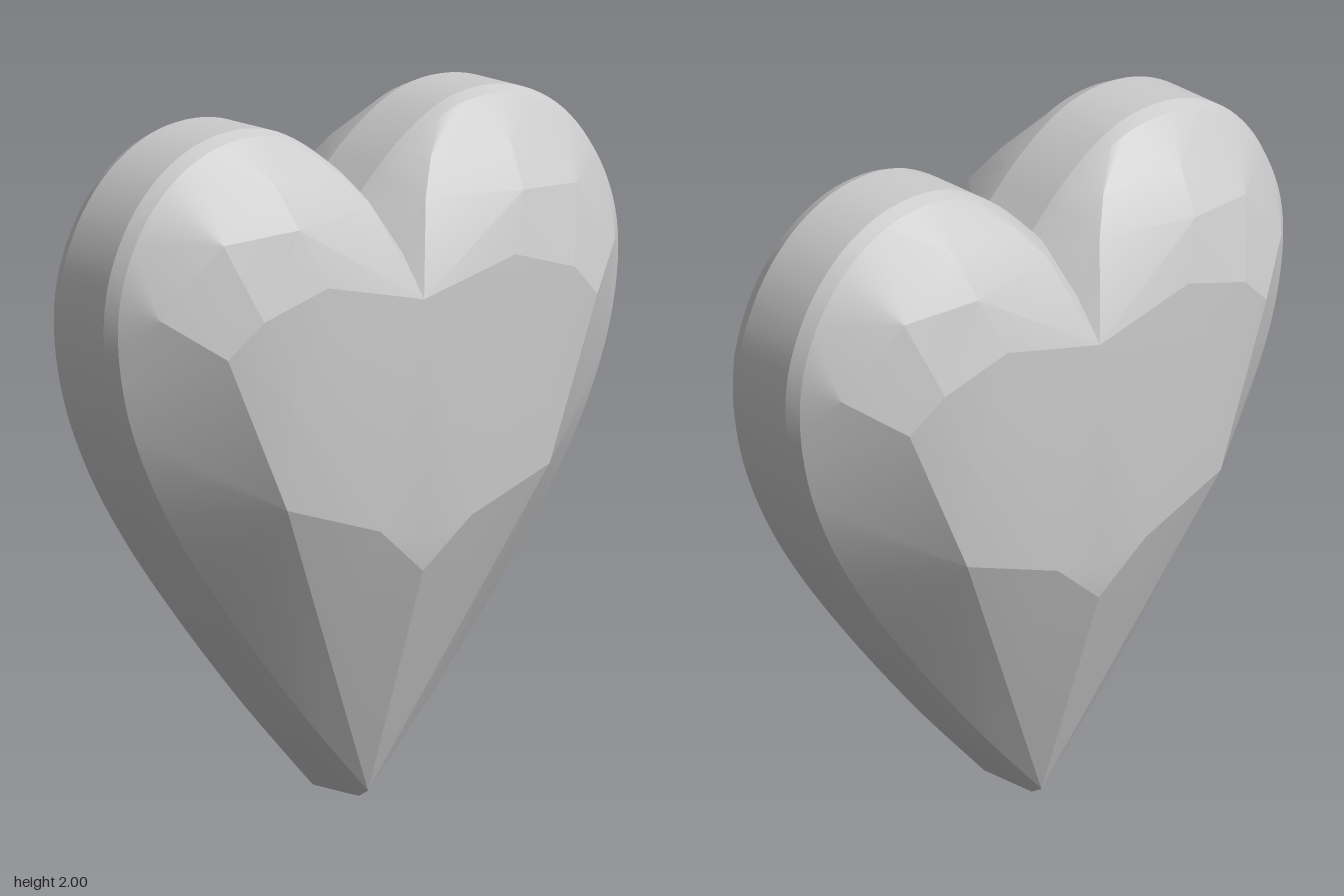
import * as THREE from 'three';
import { ConvexGeometry } from 'three/addons/geometries/ConvexGeometry.js';
import { mergeGeometries, toCreasedNormals } from 'three/addons/utils/BufferGeometryUtils.js';

// Half outline, from the bottom tip round the lobe to the notch
const OUTLINE = [
  [0, 0], [0.25, 0.262], [0.51, 0.565], [0.69, 0.8], [0.82, 1.01], [0.91, 1.22],
  [0.95, 1.41], [0.95, 1.55], [0.92, 1.67], [0.85, 1.8], [0.74, 1.91], [0.6, 1.98],
  [0.46, 2], [0.34, 1.985], [0.24, 1.943], [0.12, 1.862], [0, 1.75],
];

// Corners of the cut facets on one quarter: x, y, z
const FACETS = [
  // table
  [0, 0.8, 0.395], [0.17, 0.84, 0.392], [0.49, 0.94, 0.36], [0.49, 1.26, 0.375],
  [0.58, 1.5, 0.365], [0.35, 1.57, 0.376], [0, 1.49, 0.385],
  // shoulder and lobe
  [0.69, 1.4, 0.335], [0.85, 1.52, 0.225], [0.66, 1.72, 0.28],
  [0.42, 1.74, 0.33], [0.44, 1.86, 0.25],
  // notch
  [0, 1.61, 0.29], [0.1, 1.755, 0.275], [0.17, 1.85, 0.215],
  // keel
  [0, 0.7, 0.38], [0.19, 0.6, 0.31],
];

// Each half is convex, so it is the hull of its girdle rings and facet corners
function halfHeart(side) {
  const curve = new THREE.CatmullRomCurve3(
    OUTLINE.map(([x, y]) => new THREE.Vector3(x, y, 0)), false, 'centripetal');
  const points = [];
  for (const front of [1, -1]) {
    for (const p of curve.getSpacedPoints(90)) {
      const x = Math.max(p.x, 0) * side;
      points.push(new THREE.Vector3(x, p.y, 0.1 * front));
      // bevelled edge of the girdle
      points.push(new THREE.Vector3(x * 0.98, 1.1 + (p.y - 1.1) * 0.98, 0.14 * front));
    }
    for (const [x, y, z] of FACETS) points.push(new THREE.Vector3(x * side, y, z * front));
  }
  const hull = new ConvexGeometry(points).getAttribute('position');

  // Drop the inner wall where the halves meet
  const kept = [];
  for (let i = 0; i < hull.count; i += 3) {
    const corners = [i, i + 1, i + 2];
    if (corners.every((j) => Math.abs(hull.getX(j)) < 1e-4)) continue;
    for (const j of corners) kept.push(hull.getX(j), hull.getY(j), hull.getZ(j));
  }
  const geometry = new THREE.BufferGeometry();
  geometry.setAttribute('position', new THREE.Float32BufferAttribute(kept, 3));
  return geometry;
}

export function createModel() {
  const group = new THREE.Group();
  group.name = 'heartGem';
  const geometry = toCreasedNormals(mergeGeometries([halfHeart(1), halfHeart(-1)]), 0.2);
  const heart = new THREE.Mesh(geometry, new THREE.MeshStandardMaterial({ color: 0xcccccc }));
  heart.name = 'heart';
  group.add(heart);
  return group;
}
